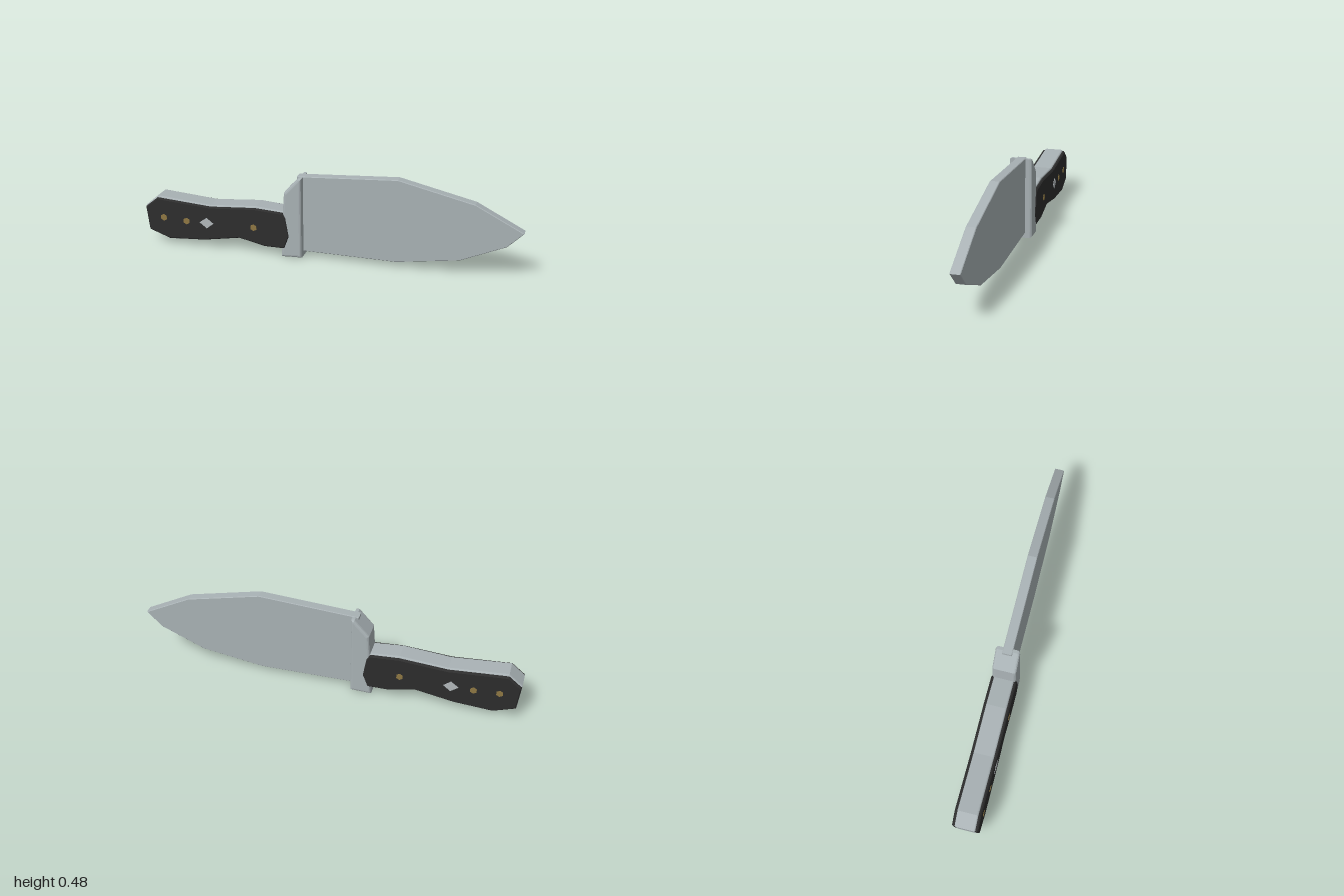
import * as THREE from 'three';

const mat = (name, color) => {
  const m = new THREE.MeshStandardMaterial({ color });
  m.name = name;
  return m;
};

export function createModel() {
  const steel = mat('steel', 0xa9b2b5);
  const black = mat('black grip', 0x2d2d2d);
  const brass = mat('brass', 0x8f7843);
  const silver = mat('silver inlay', 0xb2b8bb);
  const group = new THREE.Group();
  group.name = 'knife';

  // Extrudes an outline between two depths, with bevels kept inside the outline
  const slab = (name, points, z0, z1, bevel, material, segments = 1) => {
    const shape = new THREE.Shape(points.map(([x, y]) => new THREE.Vector2(x, y)));
    const geo = new THREE.ExtrudeGeometry(shape, {
      depth: z1 - z0 - 2 * bevel, bevelEnabled: bevel > 0, bevelThickness: bevel,
      bevelSize: bevel, bevelOffset: -bevel, bevelSegments: segments,
    });
    geo.translate(0, 0, z0 + bevel);
    const mesh = new THREE.Mesh(geo, material);
    mesh.name = name;
    group.add(mesh);
  };

  // Blade with a thick, flat rim
  slab('blade', [[-0.16, 0.032], [0.365, 0.032], [0.69, 0.083], [0.92, 0.185], [1, 0.265],
    [0.755, 0.39], [0.365, 0.478], [-0.16, 0.443]], -0.025, 0.025, 0.003, steel);

  // Bolster between blade and handle
  slab('bolster', [[-0.24, 0], [-0.128, 0.005], [-0.128, 0.443], [-0.145, 0.443],
    [-0.222, 0.358], [-0.232, 0.22], [-0.237, 0.05]], -0.062, 0.062, 0.014, steel, 3);

  // Steel tang, framed by the grip plates
  const tang = [[-1, 0.205], [-0.985, 0.068], [-0.87, 0.022], [-0.67, 0.04], [-0.47, 0.077],
    [-0.33, 0.048], [-0.2, 0.048], [-0.2, 0.25], [-0.38, 0.264], [-0.63, 0.242], [-0.93, 0.264]];
  slab('tang', tang, -0.053, 0.053, 0.009, steel, 3);

  const grip = [[-0.998, 0.2], [-0.983, 0.07], [-0.87, 0.03], [-0.67, 0.044], [-0.47, 0.08],
    [-0.33, 0.05], [-0.22, 0.05], [-0.194, 0.12], [-0.212, 0.225], [-0.23, 0.247],
    [-0.38, 0.256], [-0.63, 0.236], [-0.93, 0.256]];
  const pins = [[-0.895, 0.15], [-0.765, 0.143], [-0.388, 0.15]];
  const diamond = [[-0.69, 0.145], [-0.65, 0.115], [-0.612, 0.145], [-0.65, 0.175]];

  for (const side of [1, -1]) {
    const label = side > 0 ? 'front' : 'back';
    const layer = (name, pts, near, far, bevel, m) =>
      slab(label + name, pts, Math.min(side * near, side * far),
        Math.max(side * near, side * far), bevel, m);
    // Grip plate overlapping the bolster
    layer('Grip', grip, 0.044, 0.066, 0.006, black);
    // Hexagonal rivets and diamond inlay
    for (const [x, y] of pins) {
      const hex = Array.from({ length: 6 }, (_, i) => {
        const a = i * Math.PI / 3 + Math.PI / 6;
        return [x + 0.019 * Math.cos(a), y + 0.019 * Math.sin(a)];
      });
      layer('Rivet', hex, 0.062, 0.068, 0, brass);
    }
    layer('Inlay', diamond, 0.062, 0.068, 0, silver);
  }
  return group;
}
